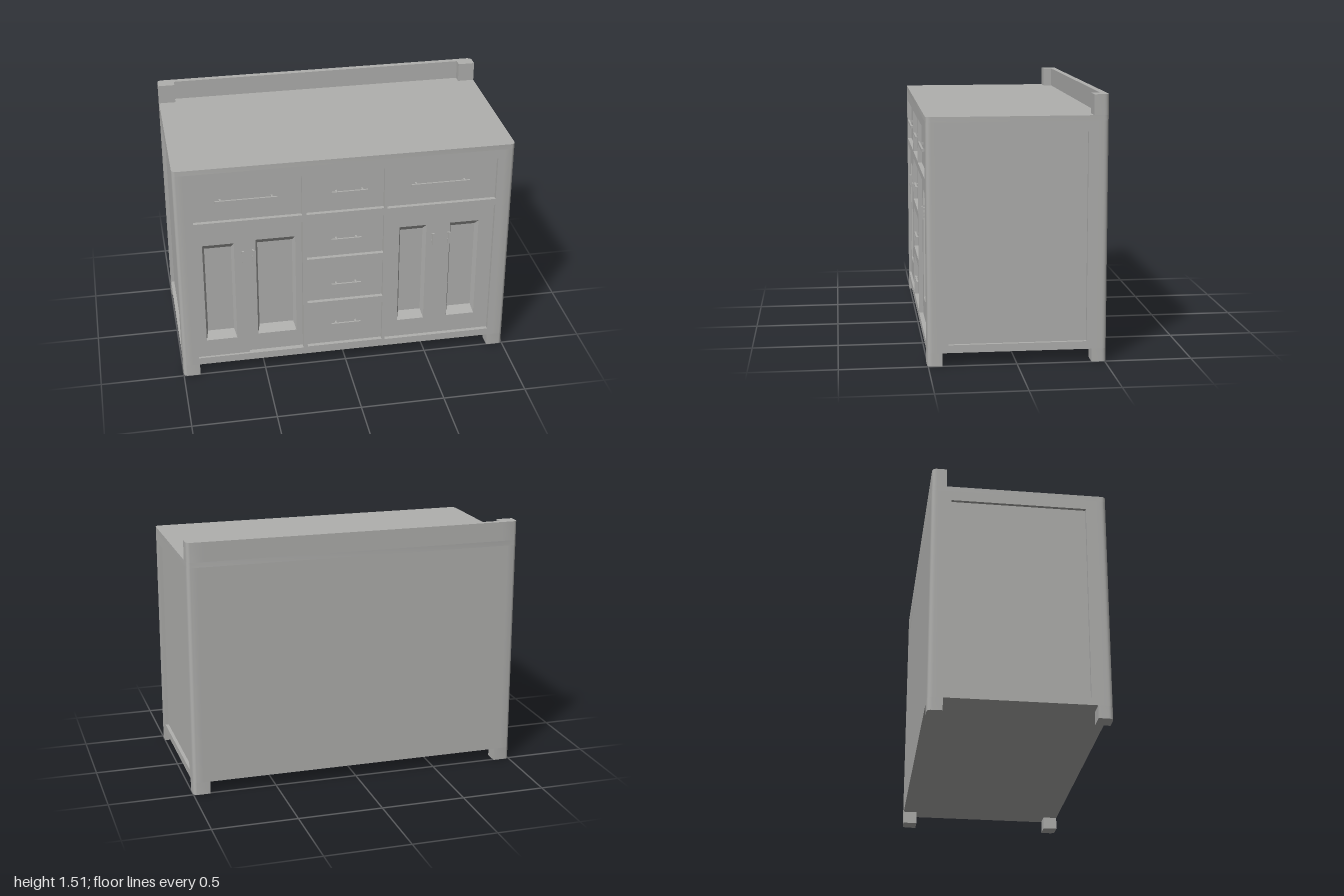
import * as THREE from 'three';
import { toCreasedNormals } from 'three/addons/utils/BufferGeometryUtils.js';

const FRONT = 0.505, BACK = -0.51, CORE = 0.43, BASE = 0.075, LID = 1.37, TOP = 1.4;
const R = 0.03; // rounding of the upright corners

export function createModel() {
  const model = new THREE.Group();
  model.name = 'vanityCabinet';
  const grey = new THREE.MeshStandardMaterial({ color: 0xb0b0ae });
  grey.name = 'grey';

  function add(name, geometry, parent = model) {
    const mesh = new THREE.Mesh(geometry, grey);
    mesh.name = name;
    parent.add(mesh);
    return mesh;
  }
  // Box given by its two extreme corners
  function box(name, x0, x1, y0, y1, z0, z1, parent) {
    const g = new THREE.BoxGeometry(x1 - x0, y1 - y0, z1 - z0);
    g.translate((x0 + x1) / 2, (y0 + y1) / 2, (z0 + z1) / 2);
    return add(name, g, parent);
  }
  function trace(path, [x0, x1, y0, y1]) {
    path.moveTo(x0, y0).lineTo(x1, y0).lineTo(x1, y1).lineTo(x0, y1).closePath();
    return path;
  }
  // Rectangular board with rectangular openings
  function frame(rect, holes, depth) {
    const shape = trace(new THREE.Shape(), rect);
    for (const h of holes) shape.holes.push(trace(new THREE.Path(), h));
    return new THREE.ExtrudeGeometry(shape, { depth, bevelEnabled: false });
  }
  // Footprint in (x, -z) pulled upwards
  function upright(name, shape, y0, y1) {
    const g = new THREE.ExtrudeGeometry(shape, { depth: y1 - y0, bevelEnabled: false, curveSegments: 6 });
    g.rotateX(-Math.PI / 2).translate(0, y0, 0);
    return add(name, toCreasedNormals(g, 0.6));
  }
  // Corner block with its outer edge rounded
  function corner(name, sx, sz, w, d, y0, y1) {
    const X = sx, Z = sz > 0 ? -FRONT : -BACK, s = new THREE.Shape();
    const xi = X - sx * w, zi = Z + sz * d;
    s.moveTo(xi, zi).lineTo(X, zi).lineTo(X, Z + sz * R);
    s.quadraticCurveTo(X, Z, X - sx * R, Z).lineTo(xi, Z).closePath();
    upright(name, s, y0, y1);
  }

  // Carcass, feet, corner posts and raised end blocks
  box('carcass', -0.98, 0.98, BASE, LID, BACK + 0.01, CORE);
  box('backPanel', -0.94, 0.94, BASE, LID, BACK, BACK + 0.03);
  for (const sx of [-1, 1]) {
    for (const sz of [-1, 1]) {
      corner('foot', sx, sz, 0.1, 0.085, 0, BASE);
      corner('cornerPost', sx, sz, 0.06, 0.06, BASE, LID);
    }
    corner('backsplashEnd', sx, -1, 0.1, 0.085, TOP, 1.515);
    // Side frame around a sunken panel
    const side = frame([-0.445, 0.45, BASE, LID], [[-0.385, 0.395, 0.12, 1.31]], 0.02);
    side.rotateY(Math.PI / 2).translate(sx > 0 ? 0.98 : -1, 0, 0);
    add('sideFrame', side);
  }
  box('backsplash', -0.9, 0.9, TOP, 1.515, BACK, -0.475);

  // Rounded worktop
  const t = new THREE.Shape();
  t.moveTo(-1 + R, -FRONT).lineTo(1 - R, -FRONT).quadraticCurveTo(1, -FRONT, 1, -FRONT + R);
  t.lineTo(1, -BACK - R).quadraticCurveTo(1, -BACK, 1 - R, -BACK);
  t.lineTo(-1 + R, -BACK).quadraticCurveTo(-1, -BACK, -1, -BACK - R);
  t.lineTo(-1, -FRONT + R).quadraticCurveTo(-1, -FRONT, -1 + R, -FRONT);
  upright('worktop', t, LID, TOP);

  // Drawers: opening and handle [x0, x1, y, thickness]
  const drawers = [
    { rect: [-0.895, -0.262, 1.05, 1.31], bar: [-0.765, -0.405, 1.183, 0.016] },
    { rect: [-0.237, 0.225, 1.05, 1.31], bar: [-0.09, 0.125, 1.18, 0.012] },
    { rect: [0.245, 0.9, 1.045, 1.315], bar: [0.385, 0.735, 1.183, 0.016] },
    { rect: [-0.237, 0.225, 0.745, 1.005], bar: [-0.09, 0.09, 0.867, 0.008] },
    { rect: [-0.237, 0.225, 0.44, 0.695], bar: [-0.09, 0.09, 0.555, 0.008] },
    { rect: [-0.237, 0.225, 0.125, 0.395], bar: [-0.09, 0.09, 0.272, 0.008] },
  ];
  const cupboards = [[-0.905, -0.262, 0.12, 1.005], [0.245, 0.9, 0.12, 1.005]];

  // Front frame with all openings
  const front = frame([-0.94, 0.94, BASE, LID], [...drawers.map((d) => d.rect), ...cupboards], FRONT - CORE);
  add('frontFrame', front.translate(0, 0, CORE));

  for (const { rect, bar: [x0, x1, y, h] } of drawers) {
    const drawer = new THREE.Group();
    drawer.name = 'drawer';
    model.add(drawer);
    box('drawerFront', ...rect, CORE, 0.48, drawer);
    box('drawerHandle', x0, x1, y - h / 2, y + h / 2, 0.5, 0.511, drawer);
    for (const x of [x0 + 0.03, x1 - 0.03]) {
      box('handlePost', x - 0.005, x + 0.005, y - h / 2, y + h / 2, 0.48, 0.502, drawer);
    }
  }

  // Sloping walls and floor of a sunken door panel
  function sunkenPanel([x0, x1, y0, y1], z, parent) {
    const zi = z - 0.038, a = x0 + 0.014, b = x1 - 0.014, c = y0 + 0.045, d = y1 - 0.04;
    const out = [[x0, y0, z], [x1, y0, z], [x1, y1, z], [x0, y1, z]];
    const inn = [[a, c, zi], [b, c, zi], [b, d, zi], [a, d, zi]];
    const pos = [];
    const quad = (p, q, r, s) => pos.push(...p, ...q, ...r, ...p, ...r, ...s);
    for (let i = 0; i < 4; i++) quad(out[i], out[(i + 1) % 4], inn[(i + 1) % 4], inn[i]);
    quad(...inn);
    const g = new THREE.BufferGeometry();
    g.setAttribute('position', new THREE.Float32BufferAttribute(pos, 3));
    g.computeVertexNormals();
    add('sunkenPanel', g, parent);
  }

  // Doors: the leftmost leaf stands a little proud of its neighbour
  const doors = [
    { rect: [-0.905, -0.59, 0.12, 1.005], panel: [-0.85, -0.665, 0.235, 0.895], z: 0.49, pull: -0.615 },
    { rect: [-0.59, -0.262, 0.12, 1.005], panel: [-0.535, -0.3, 0.235, 0.895], z: 0.472, pull: -0.553 },
    { rect: [0.245, 0.575, 0.12, 1.005], panel: [0.325, 0.49, 0.235, 0.895], z: 0.48, pull: 0.528 },
    { rect: [0.575, 0.9, 0.12, 1.005], panel: [0.635, 0.81, 0.235, 0.895], z: 0.48, pull: 0.625 },
  ];
  for (const { rect, panel, z, pull } of doors) {
    const door = new THREE.Group();
    door.name = 'door';
    model.add(door);
    add('doorLeaf', frame(rect, [panel], z - CORE).translate(0, 0, CORE), door);
    sunkenPanel(panel, z, door);
    box('doorHandle', pull - 0.006, pull + 0.006, 0.77, 0.845, 0.5, 0.511, door);
    for (const y of [0.785, 0.83]) {
      box('handlePost', pull - 0.005, pull + 0.005, y - 0.006, y + 0.006, z, 0.502, door);
    }
  }
  return model;
}
